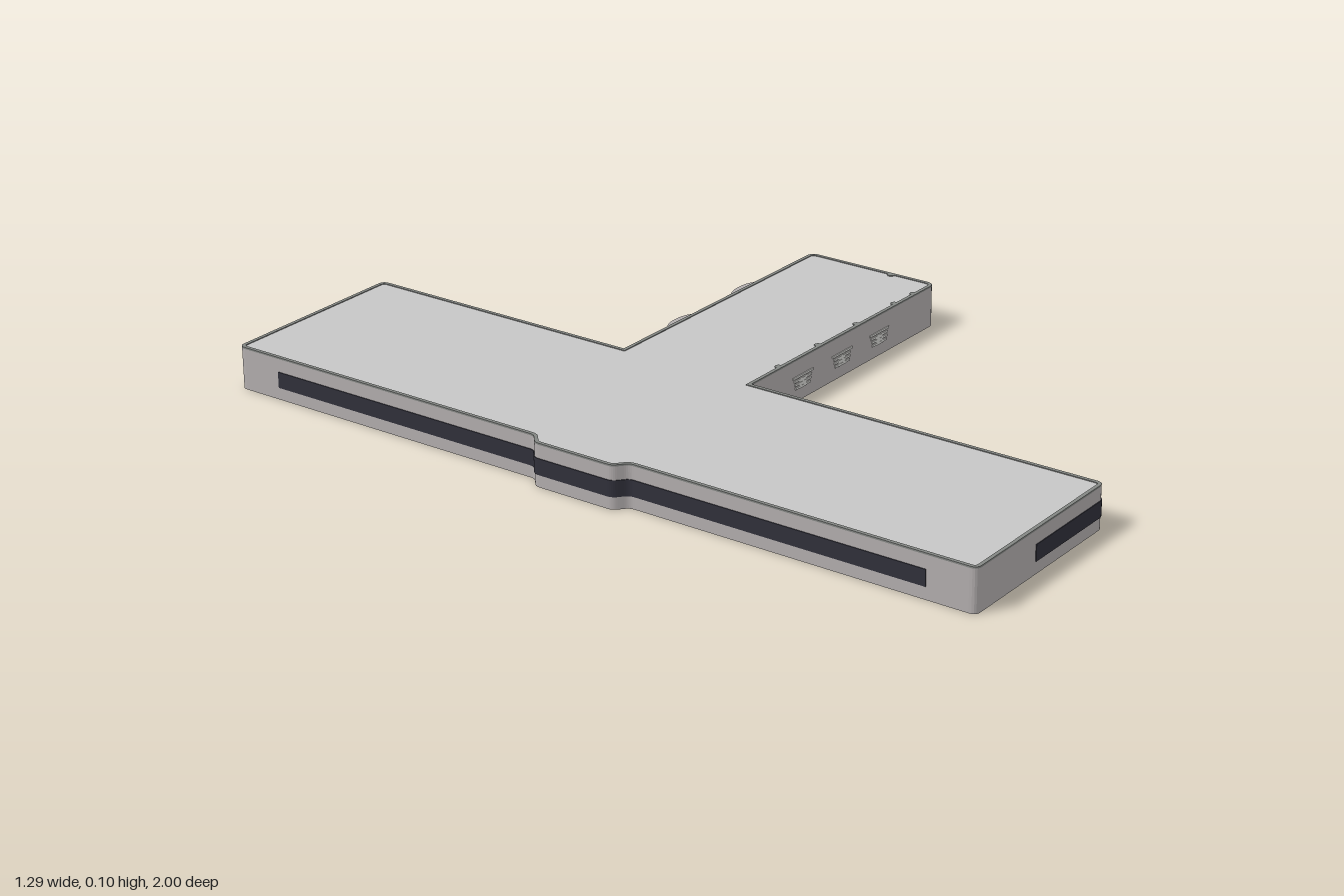
import * as THREE from 'three';

const H = 0.105;
const mat = (name, color, side = THREE.FrontSide) => {
  const m = new THREE.MeshStandardMaterial({ color, side });
  m.name = name;
  return m;
};

// Plan points are [x, -z, corner radius], counter-clockwise.
const PLAN = [
  [-0.617, -1, 0.018], [-0.115, -1, 0.018], [-0.115, -0.09, 0], [0.645, -0.09, 0.022],
  [0.645, 0.27, 0.022], [-0.115, 0.27, 0], [-0.115, 1, 0.018], [-0.617, 1, 0.018],
  [-0.617, 0.13, 0.012], [-0.647, 0.105, 0.012], [-0.647, -0.105, 0.012], [-0.617, -0.13, 0.012],
];

// Rounds the corners of a path.
function rounded(pts, closed) {
  const out = [], n = pts.length;
  pts.forEach(([x, y, r = 0], i) => {
    const p = new THREE.Vector2(x, y);
    if (!r || (!closed && (i === 0 || i === n - 1))) return out.push(p);
    const toward = (q) => new THREE.Vector2(q[0], q[1]).sub(p).setLength(r).add(p);
    const a = toward(pts[(i + n - 1) % n]), b = toward(pts[(i + 1) % n]);
    out.push(...new THREE.QuadraticBezierCurve(a, p, b).getPoints(5));
  });
  return out;
}

// Moves a path outward by d with mitred corners.
function offset(path, d, closed) {
  const n = path.length;
  const normal = (a, b) => new THREE.Vector2(b.y - a.y, a.x - b.x).normalize();
  return path.map((p, i) => {
    const prev = i > 0 || closed ? normal(path[(i + n - 1) % n], p) : null;
    const next = i < n - 1 || closed ? normal(p, path[(i + 1) % n]) : null;
    const a = prev || next, b = next || prev;
    return a.clone().add(b).multiplyScalar(d / (1 + a.dot(b))).add(p);
  });
}

// Extrudes a plan shape upward from y0 to y1.
function slab(name, points, holes, y0, y1, material) {
  const shape = new THREE.Shape(points);
  holes.forEach((h) => shape.holes.push(new THREE.Path(h)));
  const g = new THREE.ExtrudeGeometry(shape, { depth: y1 - y0, bevelEnabled: false });
  g.rotateX(-Math.PI / 2).translate(0, y0, 0);
  const m = new THREE.Mesh(g, material);
  m.name = name;
  return m;
}

export function createModel() {
  const group = new THREE.Group();
  const wall = mat('wallGrey', 0xb2adad);
  const roofMat = mat('roofGrey', 0xc6c6c6);
  const coping = mat('copingGrey', 0x838683);
  const glass = mat('windowDark', 0x30303a);
  const pale = mat('panelPale', 0xd6d6d2);

  const outline = rounded(PLAN, true);
  const inner = offset(outline, -0.009, true);

  // Walls, roof and a slim raised edge
  group.add(slab('walls', outline, [], 0, H - 0.004, wall));
  group.add(slab('roof', inner, [], H - 0.005, H - 0.002, roofMat));
  group.add(slab('roofEdge', outline, [inner], H - 0.004, H, coping));

  // Continuous window bands that wrap the corners
  const band = (name, pts) => {
    const path = rounded(pts, false);
    const outer = offset(path, 0.002, false), back = offset(path, -0.002, false);
    group.add(slab(name, [...outer, ...back.reverse()], [], 0.03, 0.069, glass));
  };
  band('frontWindowBand', [[-0.39, -1], PLAN[1], [-0.115, -0.092]]);
  band('backWindowBand', [[-0.115, 0.272], PLAN[6], [-0.385, 1]]);
  band('sideWindowBand', [[-0.617, 0.88], ...PLAN.slice(8), [-0.617, -0.88]]);

  const box = (name, w, h, d, x, y, z, material) => {
    const m = new THREE.Mesh(new THREE.BoxGeometry(w, h, d), material);
    m.position.set(x, y, z);
    m.name = name;
    group.add(m);
  };

  // Pale louvred panels on the front of the short wing
  for (const x of [0.087, 0.247, 0.403]) {
    [0.08, 0.07, 0.065, 0.06].forEach((w, i) =>
      box('louvre', w, 0.005, 0.004, x, 0.06 - i * 0.009, 0.0905, pale));
    box('louvrePost', 0.03, 0.026, 0.003, x, 0.042, 0.0905, pale);
  }

  // Shallow curved bays with framed windows on the back of the short wing
  for (const x of [0.103, 0.358]) {
    const bay = [];
    for (let i = 0; i <= 12; i++) {
      const a = (i / 12) * Math.PI;
      bay.push(new THREE.Vector2(x + 0.048 * Math.cos(a), 0.268 + 0.017 * Math.sin(a)));
    }
    group.add(slab('bay', bay, [], 0, H - 0.002, wall));
    box('bayWindowFrame', 0.056, 0.036, 0.006, x, 0.05, -0.284, pale);
    box('bayWindow', 0.04, 0.022, 0.006, x, 0.05, -0.285, coping);
  }
  box('backVent', 0.018, 0.018, 0.004, -0.07, 0.05, -0.2705, glass);

  // Small round caps along the roof edge
  const cap = new THREE.CylinderGeometry(0.009, 0.009, 0.003, 12);
  for (const [x, z] of [[0.005, 0.08], [0.163, 0.08], [0.322, 0.08], [0.482, 0.08], [0.562, 0.082], [0.635, -0.03]]) {
    const m = new THREE.Mesh(cap, coping);
    m.position.set(x, H - 0.0015, z);
    m.name = 'roofCap';
    group.add(m);
  }
  return group;
}
